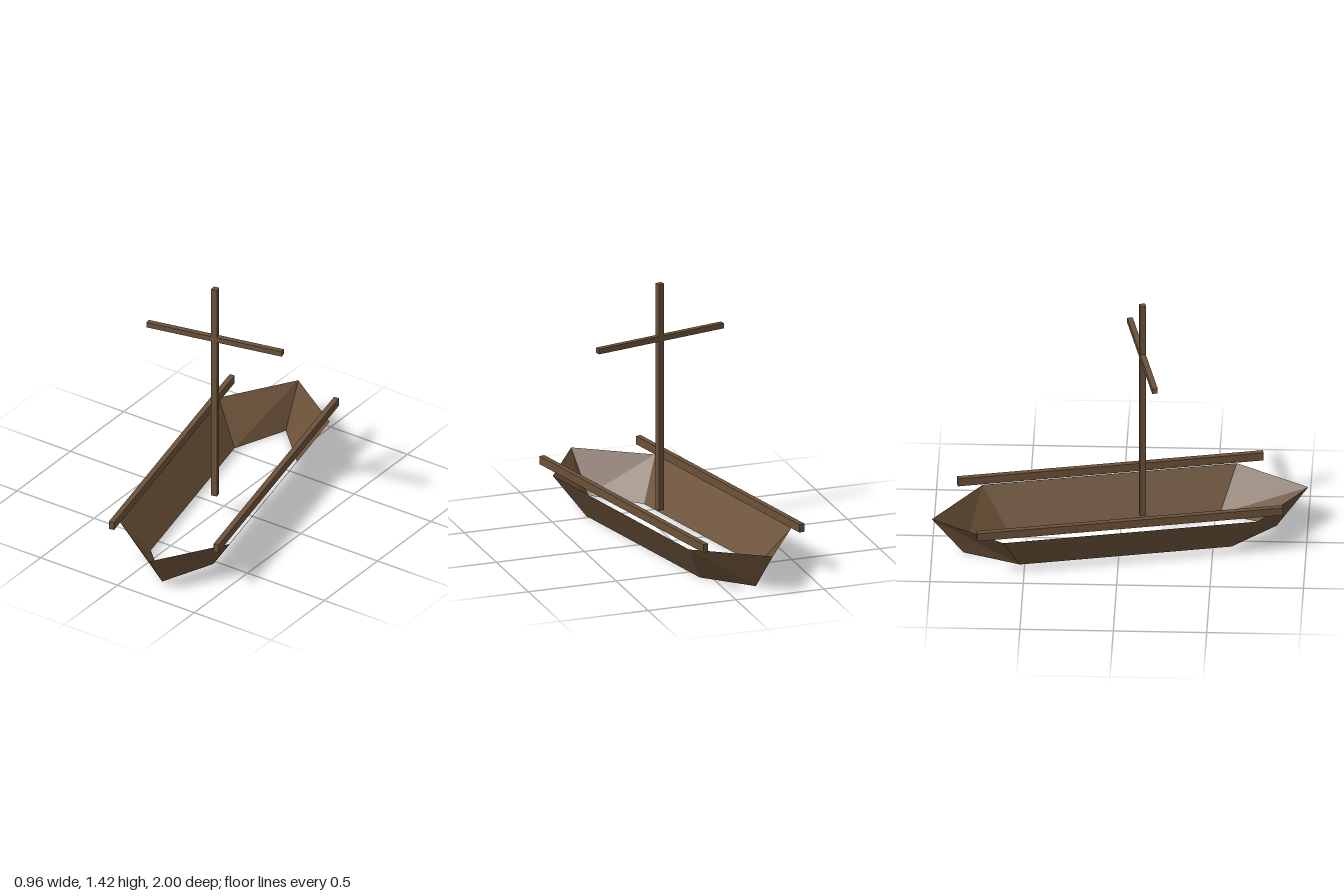
import * as THREE from 'three';

export function createModel() {
  const model = new THREE.Group();
  model.name = 'sailboat';

  const wood = new THREE.MeshStandardMaterial({ color: 0x6b5139, flatShading: true, side: THREE.DoubleSide });
  wood.name = 'brown wood';

  // Six-sided ring, pointed at bow and stern
  const ring = (half, shoulder, tip, y) => [
    [-half, y, shoulder], [0, y, tip], [half, y, shoulder],
    [half, y, -shoulder], [0, y, -tip], [-half, y, -shoulder],
  ];

  // Open hull: flared strip between keel ring and rim ring
  const rim = ring(0.322, 0.69, 1.0215, 0.22);
  const keel = ring(0.182, 0.575, 0.85, 0);
  const points = [];
  for (let i = 0; i < 6; i++) {
    const j = (i + 1) % 6;
    points.push(...rim[i], ...keel[i], ...keel[j], ...rim[i], ...keel[j], ...rim[j]);
  }
  const hullGeometry = new THREE.BufferGeometry();
  hullGeometry.setAttribute('position', new THREE.Float32BufferAttribute(points, 3));
  hullGeometry.computeVertexNormals();
  const hull = new THREE.Mesh(hullGeometry, wood);
  hull.name = 'hull';
  model.add(hull);

  const beam = (name, w, h, d, x, y, z) => {
    const mesh = new THREE.Mesh(new THREE.BoxGeometry(w, h, d), wood);
    mesh.name = name;
    mesh.position.set(x, y, z);
    model.add(mesh);
  };

  // Side rails floating just above the rim
  beam('leftRail', 0.03, 0.046, 1.66, 0.303, 0.266, 0);
  beam('rightRail', 0.03, 0.046, 1.66, -0.303, 0.266, 0);

  // Mast and crossing yard
  beam('mast', 0.033, 1.285, 0.033, 0, 0.7825, 0.122);
  beam('yard', 0.785, 0.03, 0.03, 0, 1.115, 0.122);

  // The boat lies slightly turned
  model.rotation.y = 0.207;
  return model;
}
